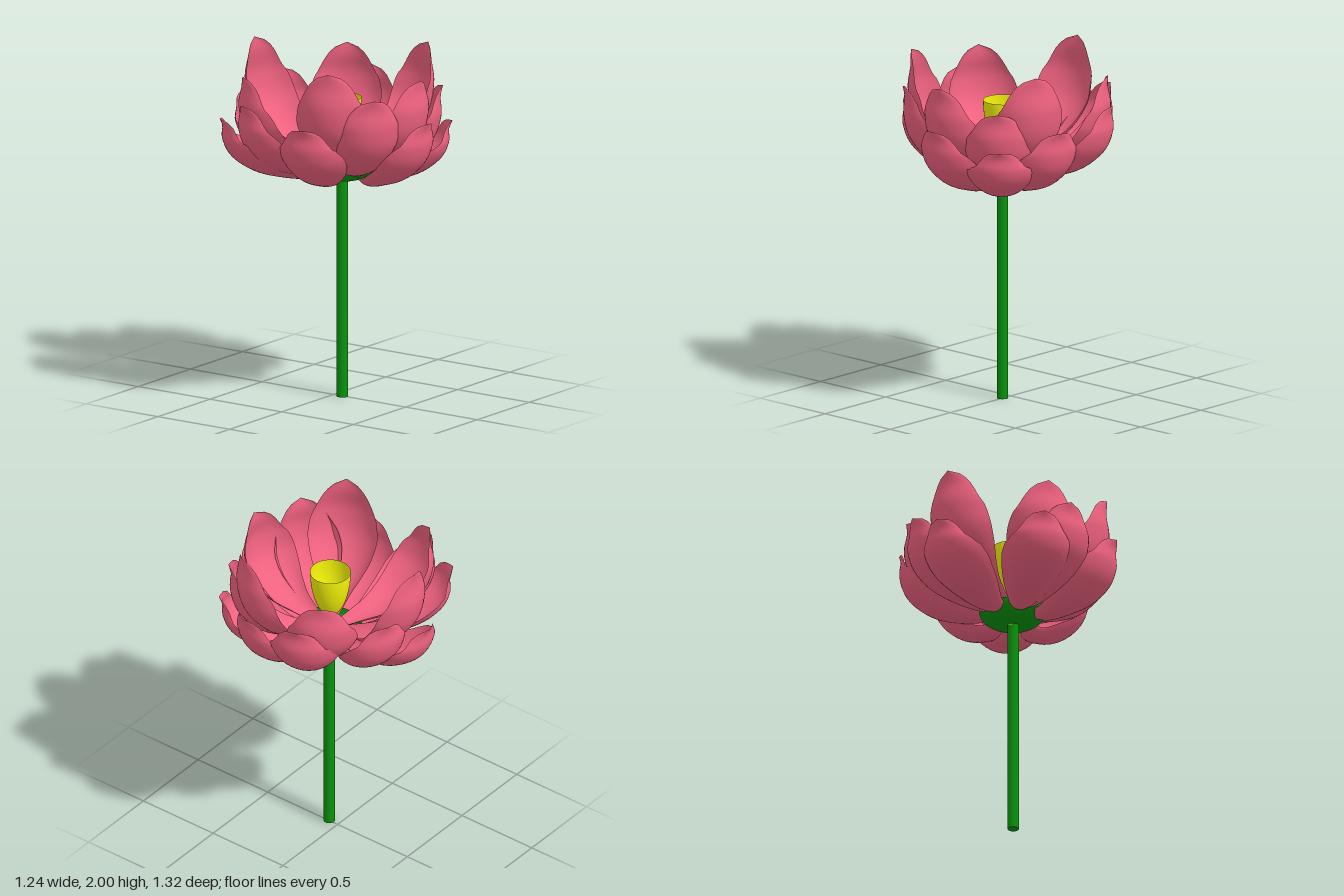
import * as THREE from 'three';

const CENTRE_Z = 0.063;
const ROOT_Y = 1.34;
const ARC = 1.1; // half angle of the petal's curved cross-section
const material = (color) => new THREE.MeshStandardMaterial({ color, side: THREE.DoubleSide });
const v2 = ([x, y]) => new THREE.Vector2(x, y);

// petal spine: x is share of the reach, y is share of the rise; the tip flicks outward
const SPINE = [[0.3, 0.01], [0.55, 0.07], [0.75, 0.19], [0.92, 0.41], [0.985, 0.66], [0.975, 0.87], [1, 1]];
// half width along the spine
const WIDTH = new THREE.SplineCurve([[0, 0.15], [0.1, 0.28], [0.2, 0.43], [0.4, 0.8], [0.55, 0.97], [0.66, 1],
  [0.78, 0.93], [0.88, 0.74], [0.95, 0.47], [0.98, 0.26], [1, 0]].map(v2)).getPoints(80);

function widthAt(u) {
  let i = 1;
  while (i < WIDTH.length - 1 && WIDTH[i].x < u) i++;
  const a = WIDTH[i - 1], b = WIDTH[i];
  return THREE.MathUtils.lerp(a.y, b.y, (u - a.x) / (b.x - a.x));
}

// cupped petal running from the flower's centre to its tip
function petalGeometry([tipX, tipY, tipZ, baseY], { width, bulge }) {
  const dx = tipX, dz = tipZ - CENTRE_Z;
  const reach = Math.hypot(dx, dz);
  const spine = new THREE.SplineCurve([new THREE.Vector2(0.04, ROOT_Y), ...SPINE.map(([r, h]) =>
    new THREE.Vector2((r + bulge * Math.sin(Math.PI * h)) * reach, baseY + h * (tipY - baseY)))]);
  const geometry = new THREE.PlaneGeometry(2, 1, 16, 36);
  const pos = geometry.attributes.position;
  for (let i = 0; i < pos.count; i++) {
    const angle = pos.getX(i) * ARC;
    const u = THREE.MathUtils.clamp(pos.getY(i) + 0.5, 0, 1);
    const p = spine.getPointAt(u), t = spine.getTangentAt(u);
    const radius = width * widthAt(u) / Math.sin(ARC);
    // the cup flattens towards the tip
    const lift = radius * (1 - Math.cos(angle)) * (1 - 0.5 * THREE.MathUtils.smoothstep(u, 0.7, 1));
    const side = radius * Math.sin(angle);
    const r = p.x - t.y * lift, y = p.y + t.x * lift;
    pos.setXYZ(i, (dx * r - dz * side) / reach, y, CENTRE_Z + (dz * r + dx * side) / reach);
  }
  geometry.computeVertexNormals();
  return geometry;
}

// each petal is [tip x, tip y, tip z, belly y]
const RINGS = [
  { name: 'innerPetal', width: 0.2, bulge: 0.04, tips: [
    [0, 2, -0.555, 1.37], [0.48, 2, 0.31, 1.37], [-0.48, 2, 0.31, 1.37],
    [0, 1.91, 0.6, 1.36], [0.5, 1.91, -0.27, 1.36], [-0.5, 1.91, -0.27, 1.36]] },
  { name: 'middlePetal', width: 0.195, bulge: 0, tips: [
    [-0.34, 1.85, 0.53, 1.32], [0.36, 1.8, 0.5, 1.31], [0.615, 1.77, -0.18, 1.31],
    [0.25, 1.77, -0.555, 1.31], [-0.605, 1.77, -0.2, 1.31]] },
  { name: 'outerPetal', width: 0.195, bulge: -0.02, tips: [
    [0, 1.67, 0.66, 1.25], [0.41, 1.59, 0.53, 1.24], [0.59, 1.68, 0.22, 1.26],
    [0, 1.66, -0.66, 1.28], [-0.56, 1.66, -0.39, 1.28], [-0.615, 1.69, 0.22, 1.27]] },
];

export function createModel() {
  const model = new THREE.Group();
  const pink = material(0xf06280), green = material(0x06960c), yellow = material(0xf4f40a);

  const add = (name, geometry, mat) => {
    const mesh = new THREE.Mesh(geometry, mat);
    mesh.name = name;
    model.add(mesh);
    return mesh;
  };

  // stem
  add('stem', new THREE.CylinderGeometry(0.032, 0.032, 1.29, 24), green).position.set(-0.005, 0.645, CENTRE_Z);

  // shallow green bowl under the petals
  const bowl = new THREE.SplineCurve(
    [[0, 1.265], [0.09, 1.27], [0.145, 1.29], [0.18, 1.325], [0.19, 1.36]].map(v2));
  add('flowerBase', new THREE.LatheGeometry(bowl.getPoints(16), 48), green).position.z = CENTRE_Z;

  // open seed cup, half of a tall ellipsoid, on a short neck
  const cup = new THREE.SphereGeometry(0.115, 40, 16, 0, Math.PI * 2, Math.PI / 2, Math.PI / 2);
  cup.scale(1, 2.55, 1);
  add('seedCup', cup, yellow).position.set(-0.005, 1.74, 0.055);
  add('seedCupNeck', new THREE.CylinderGeometry(0.025, 0.025, 0.2, 16), yellow).position.set(-0.005, 1.36, 0.055);

  // three rings of petals
  for (const ring of RINGS) {
    ring.tips.forEach((tip, i) => add(`${ring.name}${i + 1}`, petalGeometry(tip, ring), pink));
  }
  return model;
}
